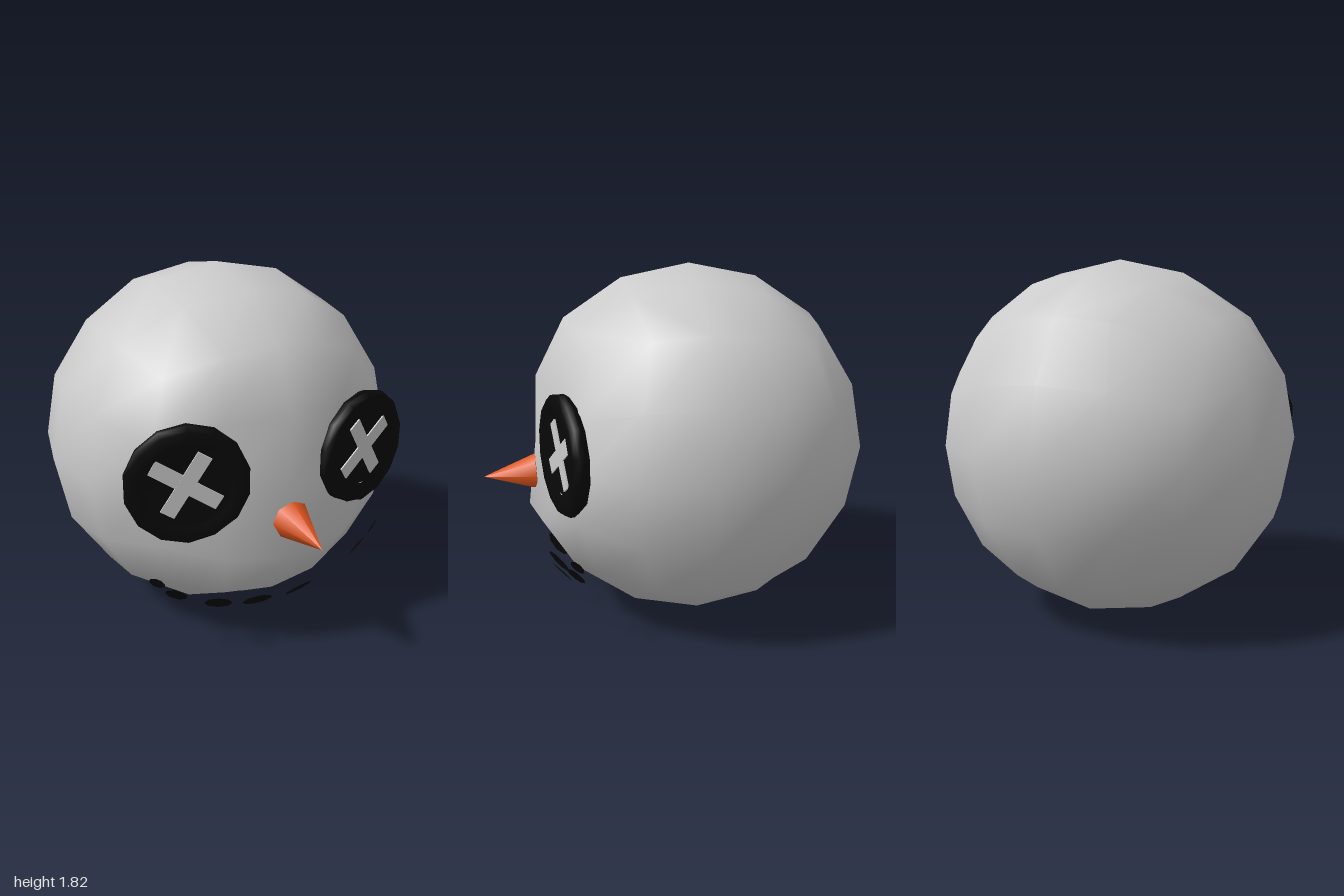
import * as THREE from 'three';
import { mergeVertices } from 'three/addons/utils/BufferGeometryUtils.js';

const grey = new THREE.MeshStandardMaterial({ color: 0xcccccc });
const black = new THREE.MeshStandardMaterial({ color: 0x080808, side: THREE.DoubleSide });
const orange = new THREE.MeshStandardMaterial({ color: 0xd9531e, side: THREE.DoubleSide });

const CENTRE = new THREE.Vector3(0, 0.91, -0.09);
const RADIUS = 0.91;

function add(parent, name, geometry, material) {
  const mesh = new THREE.Mesh(geometry, material);
  mesh.name = name;
  parent.add(mesh);
  return mesh;
}

// Cube-based sphere with even angles, flattened behind the eyes
function headGeometry() {
  let g = new THREE.BoxGeometry(2, 2, 2, 4, 4, 4);
  g.deleteAttribute('uv');
  g.deleteAttribute('normal');
  g = mergeVertices(g);
  const p = g.attributes.position;
  const v = new THREE.Vector3();
  const even = (t) => Math.tan(t * Math.PI / 4);
  for (let i = 0; i < p.count; i++) {
    v.fromBufferAttribute(p, i);
    v.set(even(v.x), even(v.y), even(v.z)).setLength(RADIUS).add(CENTRE);
    const ax = Math.abs(v.x);
    if (v.z > 0.4 && v.y > 0.8 && v.y < 1.4) {
      // brow and bridge in the middle, eye sockets at the sides
      if (ax < 0.1) v.z = v.y > 1.1 ? 0.705 : 0.72;
      else v.z = Math.min(v.z, 0.64 - 0.29 * (ax - 0.21));
    } else if (v.z > 0.7 && ax < 0.1) {
      v.z = 0.765;
    }
    p.setXYZ(i, v.x, v.y, v.z);
  }
  g.computeVertexNormals();
  return g;
}

// Round button with a raised rim and a stitched cross
function makeEye(side) {
  const eye = new THREE.Group();
  eye.name = side > 0 ? 'leftEye' : 'rightEye';
  const profile = [[0, -0.04], [0.28, -0.04], [0.297, -0.015], [0.297, 0.015],
    [0.275, 0.038], [0.215, 0.038], [0.195, 0.016], [0, 0.016]]
    .map(([x, y]) => new THREE.Vector2(x, y));
  const button = new THREE.LatheGeometry(profile, 14);
  button.rotateX(Math.PI / 2);
  add(eye, 'button', button, black);

  [[33, 0.37, 0.019], [-58, 0.34, 0.02]].forEach(([deg, length, z]) => {
    const bar = add(eye, 'crossBar', new THREE.BoxGeometry(length, 0.075, 0.008), grey);
    bar.position.set(0.008 * side, 0.005, z);
    bar.rotation.z = side * THREE.MathUtils.degToRad(deg);
  });

  eye.position.set(0.475 * side, 0.97, 0.582);
  eye.rotation.y = side * 0.285;
  return eye;
}

export function createModel() {
  const model = new THREE.Group();
  model.name = 'snowmanHead';

  add(model, 'head', headGeometry(), grey);
  model.add(makeEye(1), makeEye(-1));

  // Carrot nose, tip drooping slightly
  const cone = new THREE.ConeGeometry(0.1, 0.28, 8);
  cone.rotateX(Math.PI / 2);
  const nose = add(model, 'nose', cone, orange);
  nose.position.set(0, 0.73, 0.858);
  nose.rotation.x = 0.07;

  // Smile of flat pebbles facing away from the head centre: x, y, z, radius
  const pebbles = [[0.12, 0.265, 0.62, 0.078], [0.33, 0.3, 0.605, 0.07],
    [0.525, 0.365, 0.54, 0.056], [0.62, 0.455, 0.535, 0.042]];
  for (const side of [1, -1]) {
    for (const [x, y, z, r] of pebbles) {
      const pebble = add(model, 'mouthPebble', new THREE.CircleGeometry(r, 8), black);
      pebble.position.set(x * side, y, z);
      pebble.lookAt(pebble.position.clone().multiplyScalar(2).sub(CENTRE));
    }
  }
  return model;
}
